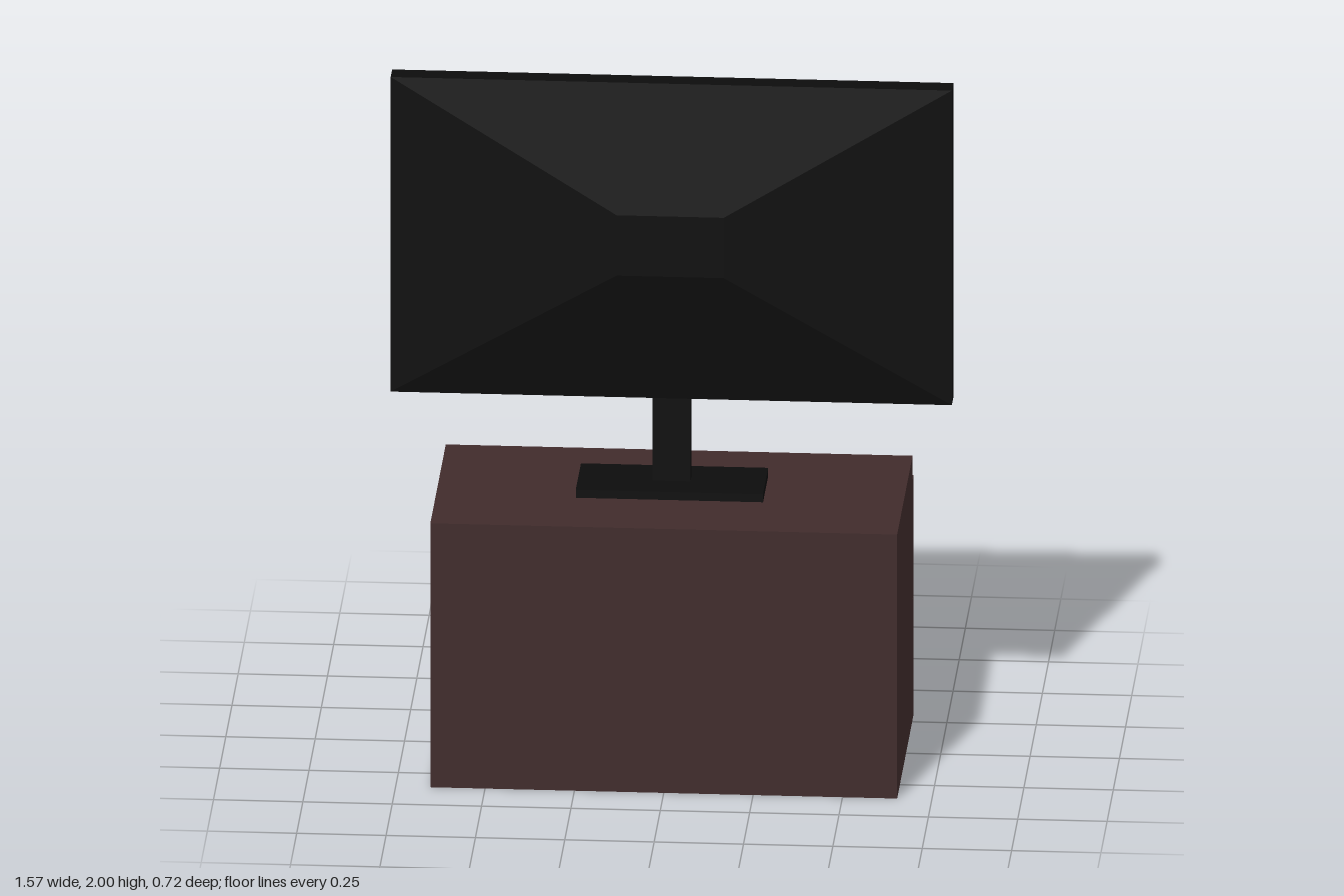
import * as THREE from 'three';

const wood = new THREE.MeshStandardMaterial({ color: 0x402b2b });
const black = new THREE.MeshStandardMaterial({ color: 0x0c0c0c });

// Box given by its minimum and maximum corners
function block(name, material, [x0, y0, z0], [x1, y1, z1]) {
  const mesh = new THREE.Mesh(new THREE.BoxGeometry(x1 - x0, y1 - y0, z1 - z0), material);
  mesh.position.set((x0 + x1) / 2, (y0 + y1) / 2, (z0 + z1) / 2);
  mesh.name = name;
  return mesh;
}

// Faceted solid through centred rectangles [halfWidth, halfHeight, z], closed at both ends
function loft(name, material, sections) {
  const rings = sections.map(([w, h, z]) => [[-w, -h, z], [w, -h, z], [w, h, z], [-w, h, z]]);
  const positions = [];
  const quad = (a, b, c, d) => positions.push(...a, ...b, ...c, ...a, ...c, ...d);
  for (let i = 0; i < rings.length - 1; i++) {
    for (let j = 0; j < 4; j++) {
      const k = (j + 1) % 4;
      quad(rings[i][j], rings[i][k], rings[i + 1][k], rings[i + 1][j]);
    }
  }
  quad(...[...rings[0]].reverse());
  quad(...rings[rings.length - 1]);
  const geometry = new THREE.BufferGeometry();
  geometry.setAttribute('position', new THREE.Float32BufferAttribute(positions, 3));
  geometry.computeVertexNormals();
  const mesh = new THREE.Mesh(geometry, material);
  mesh.name = name;
  return mesh;
}

export function createModel() {
  const model = new THREE.Group();
  model.name = 'televisionOnCabinet';

  // Cabinet with four chamfered drawers and round knobs on the -z side
  const cabinet = new THREE.Group();
  cabinet.name = 'cabinet';
  cabinet.add(block('cabinetBody', wood, [-0.653, 0, -0.267], [0.653, 0.787, 0.36]));
  for (const x of [-0.3265, 0.3265]) {
    for (const y of [0.179, 0.537]) {
      const drawer = new THREE.Group();
      drawer.name = 'drawer';
      drawer.position.set(x, y, 0);
      drawer.add(loft('drawerFront', wood, [
        [0.305, 0.163, -0.315], [0.3265, 0.178, -0.304], [0.3265, 0.178, -0.267],
      ]));
      const knob = new THREE.Mesh(new THREE.SphereGeometry(0.039, 24, 16), wood);
      knob.name = 'knob';
      knob.position.z = -0.322;
      drawer.add(knob);
      cabinet.add(drawer);
    }
  }
  model.add(cabinet);

  // Television: recessed screen, straight frame, tapered rear housing
  const television = new THREE.Group();
  television.name = 'television';
  const panel = loft('screenAndHousing', black, [
    [0.725, 0.409, 0.01], [0.725, 0.409, -0.005], [0.785, 0.469, -0.005],
    [0.785, 0.469, 0.055], [0.15, 0.09, 0.1],
  ]);
  panel.position.y = 1.531;
  television.add(panel);

  // Stand
  television.add(block('standNeck', black, [-0.053, 0.8, 0.012], [0.053, 1.08, 0.042]));
  television.add(block('standBase', black, [-0.262, 0.787, -0.08], [0.262, 0.811, 0.13]));
  model.add(television);

  return model;
}
